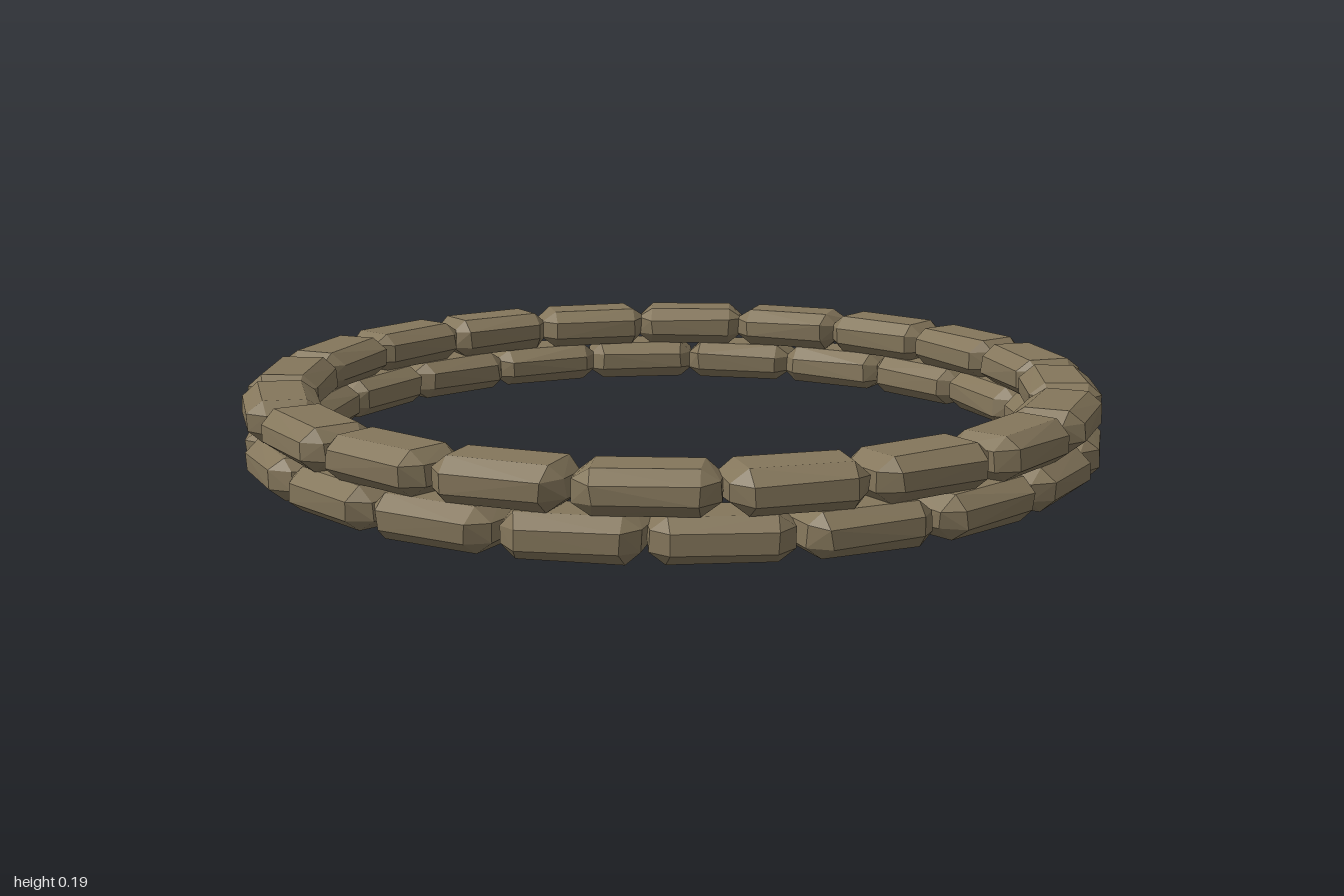
import * as THREE from 'three';
import { ConvexGeometry } from 'three/addons/geometries/ConvexGeometry.js';

const COUNT = 20;
const RADIUS = 0.905;

// Small seeded generator for the hand-cut irregularity
function seeded(seed) {
  return () => {
    seed = (seed * 16807) % 2147483647;
    return seed / 2147483647 - 0.5;
  };
}

// Bevelled block: long in x, with chamfered edges and corners
function stoneGeometry(rand) {
  const corners = [
    [0.143, 0.02, 0.042],  // end face
    [0.105, 0.02, 0.082],  // long side
    [0.108, 0.0475, 0.048], // flat top and bottom
  ];
  const points = [];
  for (const [x, y, z] of corners)
    for (const sx of [-1, 1]) for (const sy of [-1, 1]) for (const sz of [-1, 1]) {
      const flat = y > 0.04;
      points.push(new THREE.Vector3(
        sx * (x + rand() * 0.008),
        sy * (y + (flat ? 0 : rand() * 0.008)),
        sz * (z + rand() * 0.006)));
    }
  return new ConvexGeometry(points);
}

export function createModel() {
  const group = new THREE.Group();
  group.name = 'stoneRing';
  const stone = new THREE.MeshStandardMaterial({ color: 0x84765b, flatShading: true });
  stone.name = 'brown stone';
  const rand = seeded(4711);

  // Two courses, the upper one staggered by half a stone
  [['lowerCourse', 0.0475, 0], ['upperCourse', 0.1425, 0.5]].forEach(([name, y, shift]) => {
    const course = new THREE.Group();
    course.name = name;
    for (let i = 0; i < COUNT; i++) {
      const angle = ((i + shift) / COUNT) * Math.PI * 2;
      const block = new THREE.Mesh(stoneGeometry(rand), stone);
      block.name = 'stoneBlock';
      const r = RADIUS + rand() * 0.008;
      block.position.set(Math.sin(angle) * r, y, Math.cos(angle) * r);
      block.rotation.y = angle + rand() * 0.04;
      course.add(block);
    }
    group.add(course);
  });
  return group;
}
